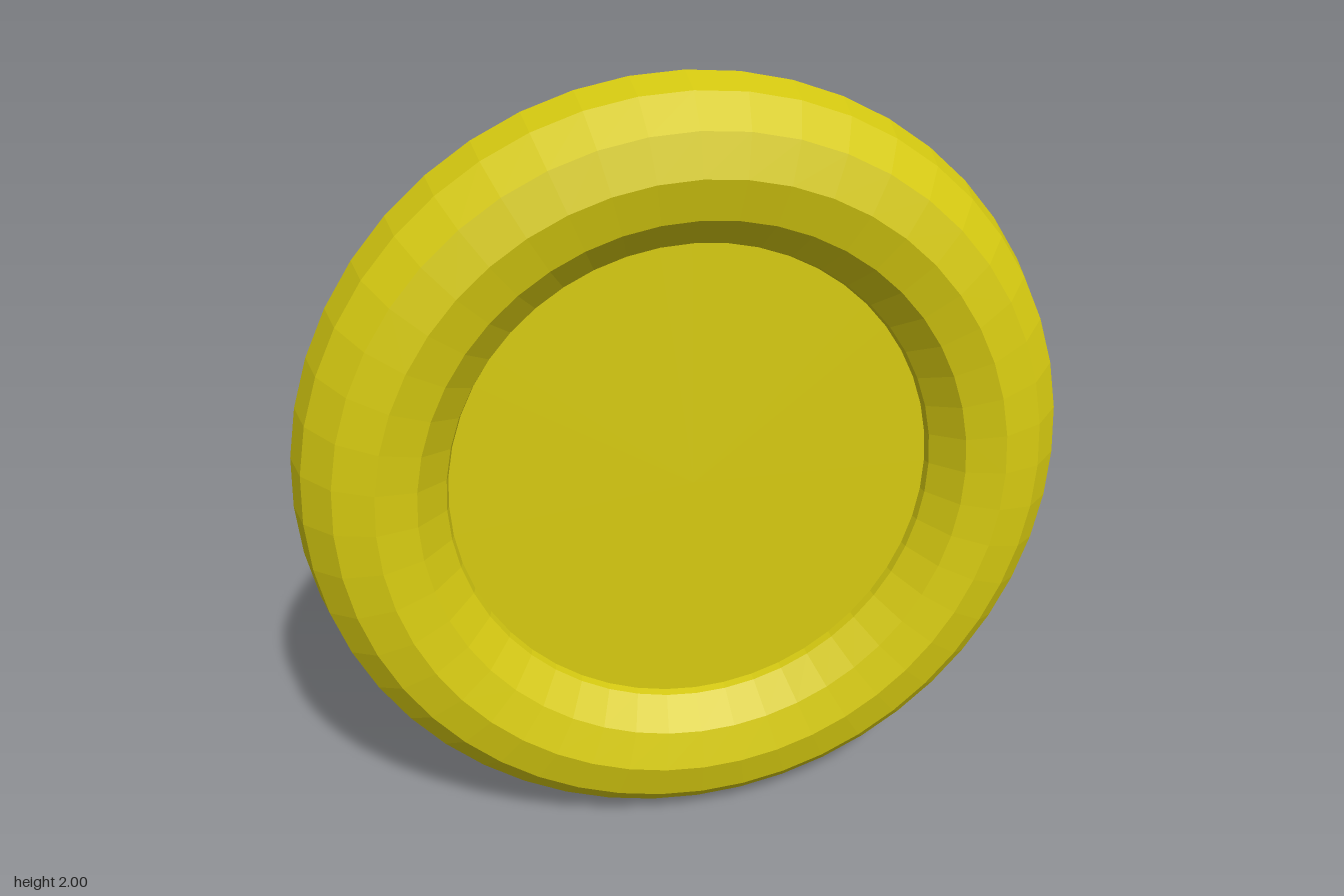
import * as THREE from 'three';

export function createModel() {
  const model = new THREE.Group();
  const yellow = new THREE.MeshStandardMaterial({ color: 0xd4c810, flatShading: true });
  const black = new THREE.MeshStandardMaterial({ color: 0x050505, side: THREE.DoubleSide });

  function add(name, geometry, material) {
    const mesh = new THREE.Mesh(geometry, material);
    mesh.name = name;
    token.add(mesh);
    return mesh;
  }

  // Upright token, turned sideways and leaning back slightly
  const token = new THREE.Group();
  token.name = 'token';
  token.rotation.order = 'YXZ';
  token.rotation.set(-0.03, 0.602, 0);
  token.position.y = 1;
  token.scale.x = 0.98;
  model.add(token);

  // Faceted round rim
  add('rim', new THREE.TorusGeometry(0.8, 0.2, 12, 48), yellow);

  // Thick centre disc, its edge buried in the rim
  add('disc', new THREE.CylinderGeometry(0.72, 0.72, 0.16, 48).rotateX(Math.PI / 2), yellow);

  // Small dark sliver on the back of the disc
  const sliver = new THREE.Shape([
    new THREE.Vector2(-0.278, -0.48),
    new THREE.Vector2(-0.45, -0.18),
    new THREE.Vector2(-0.445, -0.295),
  ]);
  add('backSliver', new THREE.ShapeGeometry(sliver), black).position.z = -0.082;

  return model;
}
